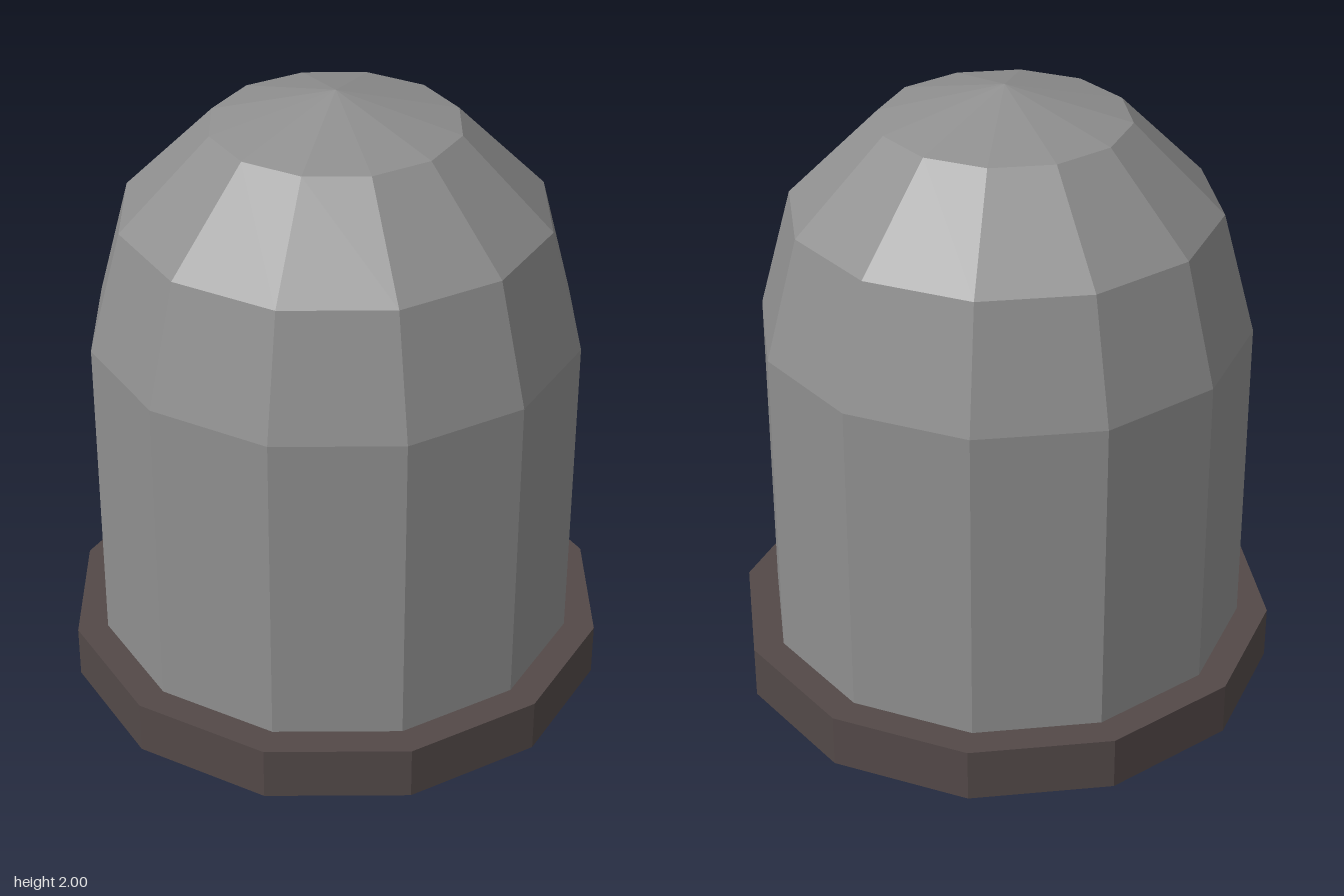
import * as THREE from 'three';

export function createModel() {
  const group = new THREE.Group();
  const SIDES = 12;
  const RADIUS = 0.78;
  const SHOULDER = 1.22;
  const BASE_HEIGHT = 0.175;

  const shellGrey = new THREE.MeshStandardMaterial({ color: 0x8f8f8f, flatShading: true });
  shellGrey.name = 'shell grey';
  const baseBrown = new THREE.MeshStandardMaterial({ color: 0x534948, flatShading: true });
  baseBrown.name = 'base brown';

  const add = (name, geometry, material, y = 0) => {
    const mesh = new THREE.Mesh(geometry, material);
    mesh.name = name;
    mesh.position.y = y;
    group.add(mesh);
  };

  // Wide closed base plate
  add('base', new THREE.CylinderGeometry(0.88, 0.88, BASE_HEIGHT, SIDES), baseBrown, BASE_HEIGHT / 2);

  // Straight wall rising into a three-step hemispherical dome
  const profile = [new THREE.Vector2(RADIUS, BASE_HEIGHT)];
  for (let i = 0; i < 3; i++) {
    const angle = (i * Math.PI) / 6;
    profile.push(new THREE.Vector2(RADIUS * Math.cos(angle), SHOULDER + RADIUS * Math.sin(angle)));
  }
  profile.push(new THREE.Vector2(0, SHOULDER + RADIUS));
  add('domedShell', new THREE.LatheGeometry(profile, SIDES), shellGrey);

  return group;
}
